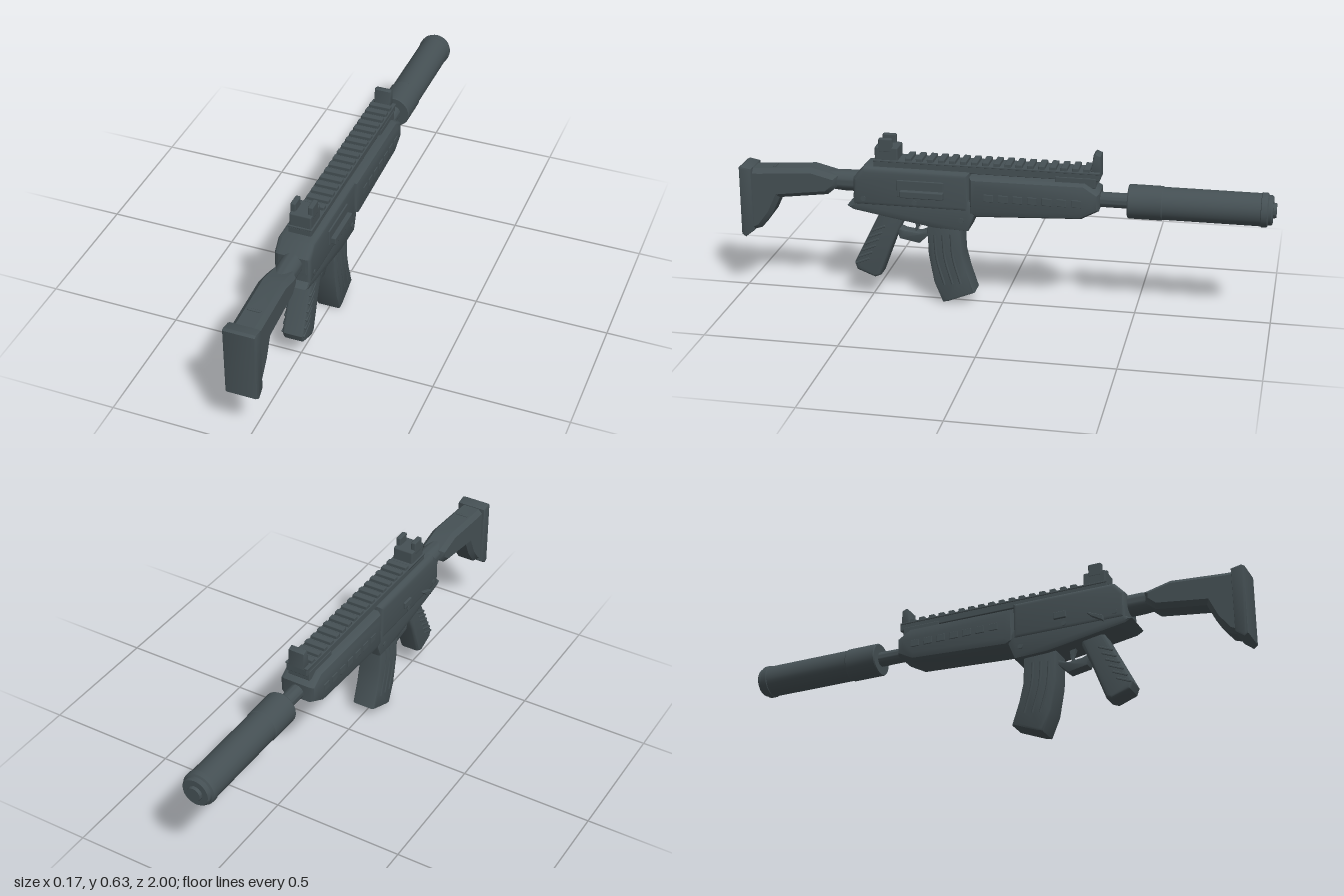
import * as THREE from 'three';
import { toCreasedNormals } from 'three/addons/utils/BufferGeometryUtils.js';
import { RoundedBoxGeometry } from 'three/addons/geometries/RoundedBoxGeometry.js';

export function createModel() {
  const model = new THREE.Group();
  const body = new THREE.Group();
  body.name = 'rifle';
  body.position.x = -0.005;
  model.add(body);

  const gunmetal = new THREE.MeshStandardMaterial({ color: 0x455054 });
  gunmetal.name = 'gunmetal';

  const add = (name, geometry, x = 0, y = 0, z = 0, rx = 0) => {
    const mesh = new THREE.Mesh(geometry, gunmetal);
    mesh.name = name;
    mesh.position.set(x, y, z);
    mesh.rotation.x = rx;
    body.add(mesh);
    return mesh;
  };

  // Side outline of [z, y] points, extruded across x with bevelled edges
  const prism = (name, points, half, bevel, segments = 2, across = bevel, x = 0) => {
    const shape = new THREE.Shape(points.map(([z, y]) => new THREE.Vector2(z, y)));
    const depth = 2 * (half - across);
    const g = new THREE.ExtrudeGeometry(shape, {
      depth, bevelEnabled: true, bevelSize: bevel, bevelThickness: across,
      bevelOffset: -bevel, bevelSegments: segments,
    });
    g.translate(0, 0, -depth / 2);
    g.rotateY(-Math.PI / 2);
    return add(name, toCreasedNormals(g, 0.6), x);
  };

  // Box given by its extents
  const box = (name, x0, x1, y0, y1, z0, z1, r = 0.004) => add(name,
    new RoundedBoxGeometry(x1 - x0, y1 - y0, z1 - z0, 1, r),
    (x0 + x1) / 2, (y0 + y1) / 2, (z0 + z1) / 2);

  // Turned part along z, profile of [radius, z] points
  const turned = (name, points, y) => {
    const g = new THREE.LatheGeometry(points.map(([r, z]) => new THREE.Vector2(r, z)), 32);
    g.rotateX(Math.PI / 2);
    return add(name, toCreasedNormals(g, 0.5), 0, y);
  };

  // Stock
  prism('stock', [[0.97, 0.485], [0.93, 0.485], [0.72, 0.5], [0.62, 0.475], [0.62, 0.435],
    [0.66, 0.4], [0.85, 0.375], [0.88, 0.31], [0.925, 0.25], [0.97, 0.235]], 0.05, 0.017, 1);
  prism('buttPad', [[1, 0.49], [0.99, 0.496], [0.95, 0.488], [0.952, 0.24], [0.985, 0.214], [1, 0.225]], 0.06, 0.008);
  box('stockLatch', -0.024, 0.024, 0.48, 0.493, 0.865, 0.875, 0.002);
  turned('bufferTube', [[0, 0.5], [0.04, 0.5], [0.04, 0.6], [0.034, 0.68], [0, 0.68]], 0.45);

  // Receiver
  prism('upperReceiver', [[0.555, 0.48], [0.515, 0.524], [0.115, 0.524], [0.115, 0.375], [0.555, 0.375]],
    0.068, 0.018, 3);
  prism('lowerReceiver', [[0.555, 0.42], [0.555, 0.385], [0.58, 0.37], [0.555, 0.355], [0.25, 0.303],
    [0.12, 0.298], [0.093, 0.365], [0.115, 0.42]], 0.064, 0.01, 2);
  for (const [z, y, reach] of [[0.515, 0.405, 0.07], [0.32, 0.4, 0.07], [0.145, 0.342, 0.067]]) {
    const pin = new THREE.CylinderGeometry(0.01, 0.01, reach * 2, 12);
    pin.rotateZ(Math.PI / 2);
    add('receiverPin', pin, 0, y, z);
  }

  // Ejection port with charging bar on the left, safety lever on the right
  box('ejectionPort', 0.05, 0.073, 0.422, 0.486, 0.208, 0.385, 0.003);
  box('chargingBar', 0.05, 0.09, 0.423, 0.45, 0.208, 0.372, 0.004);
  prism('safetyLever', [[0.475, 0.375], [0.43, 0.4], [0.415, 0.415], [0.425, 0.415], [0.475, 0.395]],
    0.012, 0.002, 1, 0.002, -0.069);
  box('boltCatch', -0.076, -0.05, 0.42, 0.447, 0.28, 0.33, 0.003);

  // Handguard with a row of raised vents on each side
  prism('handguard', [[0.115, 0.508], [-0.31, 0.51], [-0.365, 0.475], [-0.365, 0.41], [-0.3, 0.375],
    [0.09, 0.356], [0.115, 0.37]], 0.074, 0.028, 2, 0.022);
  for (const side of [-1, 1]) {
    for (let i = 0; i < 7; i++) {
      const z = 0.04 - i * 0.054;
      const x = side * 0.073;
      box('vent', x - 0.004, x + 0.004, 0.425, 0.453, z - 0.018, z + 0.018, 0.002);
    }
  }

  // Top rail
  box('railBase', -0.043, 0.043, 0.518, 0.546, -0.364, 0.48, 0.003);
  box('railMount', -0.045, 0.045, 0.49, 0.53, -0.35, -0.2);
  box('railLip', -0.046, 0.046, 0.544, 0.551, -0.364, 0.48, 0.002);
  for (let i = 0; i < 17; i++) {
    const z = 0.348 - i * 0.0415;
    box('railTooth', -0.042, 0.042, 0.546, 0.564, z - 0.012, z + 0.012, 0.003);
  }

  // Sights
  box('rearSightBase', -0.041, 0.041, 0.546, 0.6, 0.387, 0.475, 0.006);
  for (const side of [-1, 1]) {
    const x = side * 0.032;
    box('rearSightPost', x - 0.01, x + 0.01, 0.58, 0.632, 0.408, 0.46, 0.005);
  }
  prism('frontSight', [[-0.33, 0.545], [-0.338, 0.612], [-0.345, 0.618], [-0.364, 0.61], [-0.366, 0.545]],
    0.032, 0.004);

  // Barrel and suppressor
  turned('barrel', [[0, -0.5], [0.028, -0.5], [0.028, -0.33], [0, -0.33]], 0.438);
  turned('suppressor', [[0, -1], [0.026, -1], [0.028, -0.994], [0.028, -0.988], [0.05, -0.988],
    [0.055, -0.982], [0.055, -0.972], [0.062, -0.968], [0.063, -0.96], [0.063, -0.947], [0.06, -0.945],
    [0.06, -0.594], [0.063, -0.59], [0.063, -0.47], [0.06, -0.466], [0, -0.466]], 0.438);

  // Pistol grip with slanted ridges
  prism('grip', [[0.455, 0.36], [0.375, 0.36], [0.375, 0.31], [0.41, 0.23], [0.462, 0.09], [0.485, 0.08],
    [0.555, 0.107], [0.564, 0.135], [0.465, 0.335]], 0.042, 0.012, 3);
  for (let i = 0; i < 6; i++) {
    const t = i / 5;
    add('gripRidge', new RoundedBoxGeometry(0.089, 0.009, 0.06, 1, 0.003),
      0, 0.28 - t * 0.135, 0.467 + t * 0.065, 0.4);
  }

  // Trigger and guard
  prism('triggerGuard', [[0.405, 0.285], [0.39, 0.238], [0.315, 0.224], [0.272, 0.265], [0.275, 0.28],
    [0.315, 0.265], [0.37, 0.272]], 0.024, 0.005);
  prism('trigger', [[0.345, 0.33], [0.315, 0.33], [0.318, 0.285], [0.335, 0.255], [0.33, 0.29]], 0.01, 0.002, 1);

  // Curved magazine with three ribs on each side
  prism('magazine', [[0.28, 0.33], [0.15, 0.33], [0.145, 0.2], [0.128, 0.13], [0.1, 0.047], [0.2, 0.006],
    [0.222, 0.001], [0.255, 0.08], [0.275, 0.19]], 0.048, 0.01, 2);
  for (const side of [-1, 1]) {
    for (let i = 0; i < 3; i++) {
      const path = new THREE.CatmullRomCurve3([[0.25, 0.27], [0.243, 0.18], [0.214, 0.075]].map(
        ([z, y]) => new THREE.Vector3(side * 0.047, y + i * 0.004, z - i * 0.031)));
      add('magazineRib', new THREE.TubeGeometry(path, 10, 0.005, 6));
    }
  }

  return model;
}
